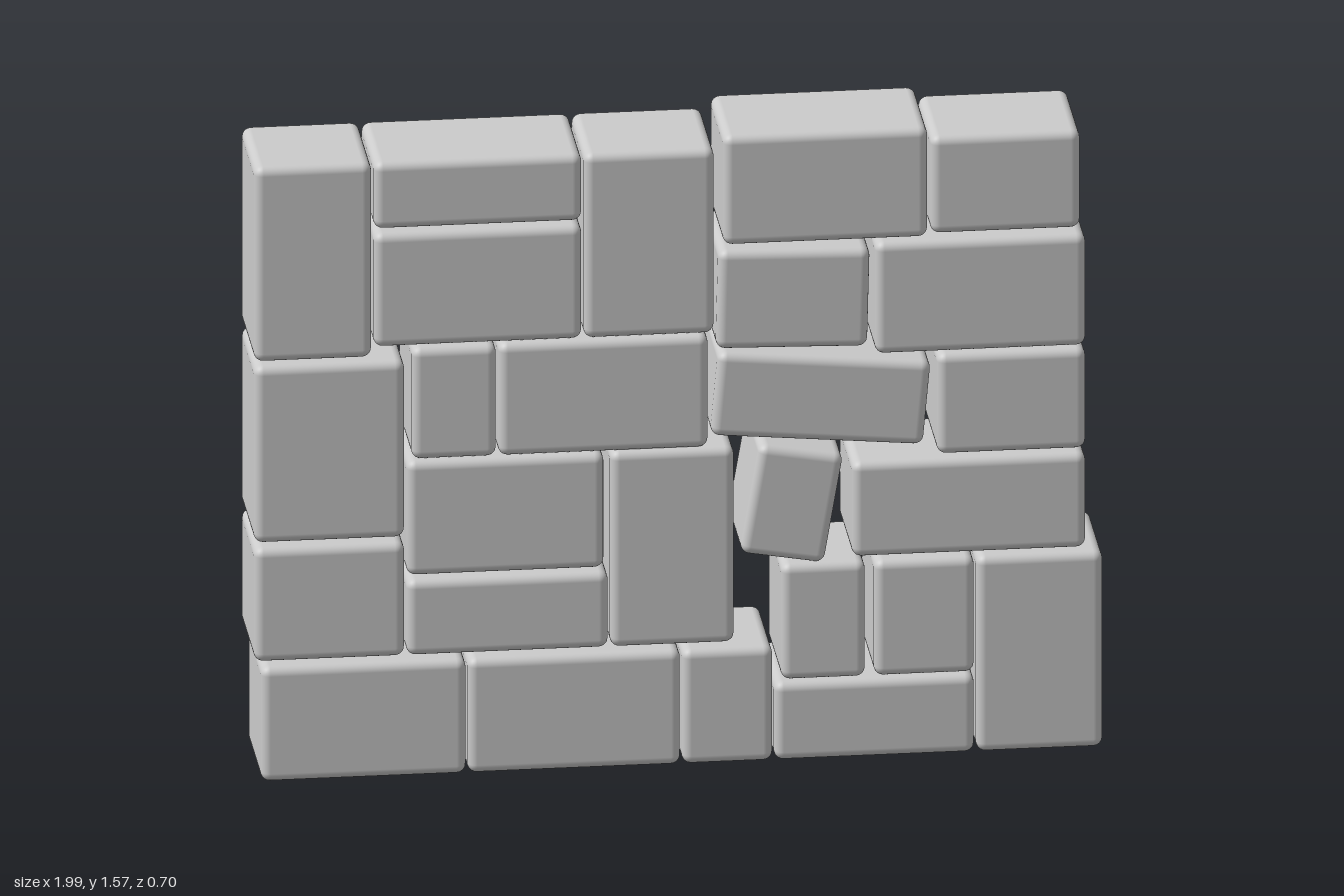
import * as THREE from 'three';
import { RoundedBoxGeometry } from 'three/addons/geometries/RoundedBoxGeometry.js';

const DEPTH = 0.28;
const BEVEL = 0.022;

// Stones as [left, right, bottom, top] along the wall
const STONES = {
  baseStone: [
    [-0.978, -0.498, 0, 0.287], [-0.494, 0.004, 0, 0.287], [0.008, 0.22, 0, 0.287],
    [0.224, 0.692, 0, 0.195], [0.697, 0.993, 0, 0.49],
  ],
  lowerStone: [
    [-0.994, -0.642, 0.3, 0.585], [-0.637, -0.165, 0.3, 0.49], [-0.16, 0.13, 0.3, 0.79],
    [0.24, 0.437, 0.2, 0.49], [0.458, 0.692, 0.2, 0.49],
  ],
  middleStone: [
    [-0.994, -0.642, 0.597, 1.04], [-0.637, -0.175, 0.5, 0.787],
    [-0.625, -0.427, 0.79, 1.07], [-0.422, 0.069, 0.79, 1.072],
    [0.406, 0.953, 0.5, 0.738], [0.605, 0.953, 0.748, 1.0],
  ],
  upperStone: [
    [-0.714, -0.227, 1.075, 1.36], [0.46, 0.953, 1.005, 1.285],
  ],
  topStone: [
    [-0.994, -0.719, 1.05, 1.538], [-0.714, -0.227, 1.37, 1.538],
    [-0.222, 0.083, 1.075, 1.538], [0.104, 0.583, 1.293, 1.568], [0.59, 0.94, 1.3, 1.545],
  ],
};

// Loose, tilted stones as [centre along wall, centre height, width, height, tilt]
const LOOSE = [
  [0.265, 0.64, 0.2, 0.275, -0.17],
  [0.333, 0.9, 0.5, 0.21, -0.09],
  [0.268, 1.153, 0.355, 0.247, -0.025],
];

export function createModel() {
  const model = new THREE.Group();
  model.name = 'stoneWall';
  const material = new THREE.MeshStandardMaterial({ color: 0xcccccc });

  function addStone(name, x, y, width, height, tilt = 0) {
    const stone = new THREE.Mesh(new RoundedBoxGeometry(width, height, DEPTH, 3, BEVEL), material);
    stone.name = name;
    stone.position.set(x, y, 0);
    stone.rotation.z = tilt;
    model.add(stone);
  }

  // Squarely laid stones
  for (const [name, list] of Object.entries(STONES)) {
    list.forEach(([l, r, b, t], i) => addStone(name + (i + 1), (l + r) / 2, (b + t) / 2, r - l, t - b));
  }

  // Slipped stones in the middle of the wall
  LOOSE.forEach(([x, y, w, h, tilt], i) => addStone('looseStone' + (i + 1), x, y, w, h, tilt));

  // The whole wall stands at a slight angle
  model.rotation.y = 0.223;
  return model;
}
